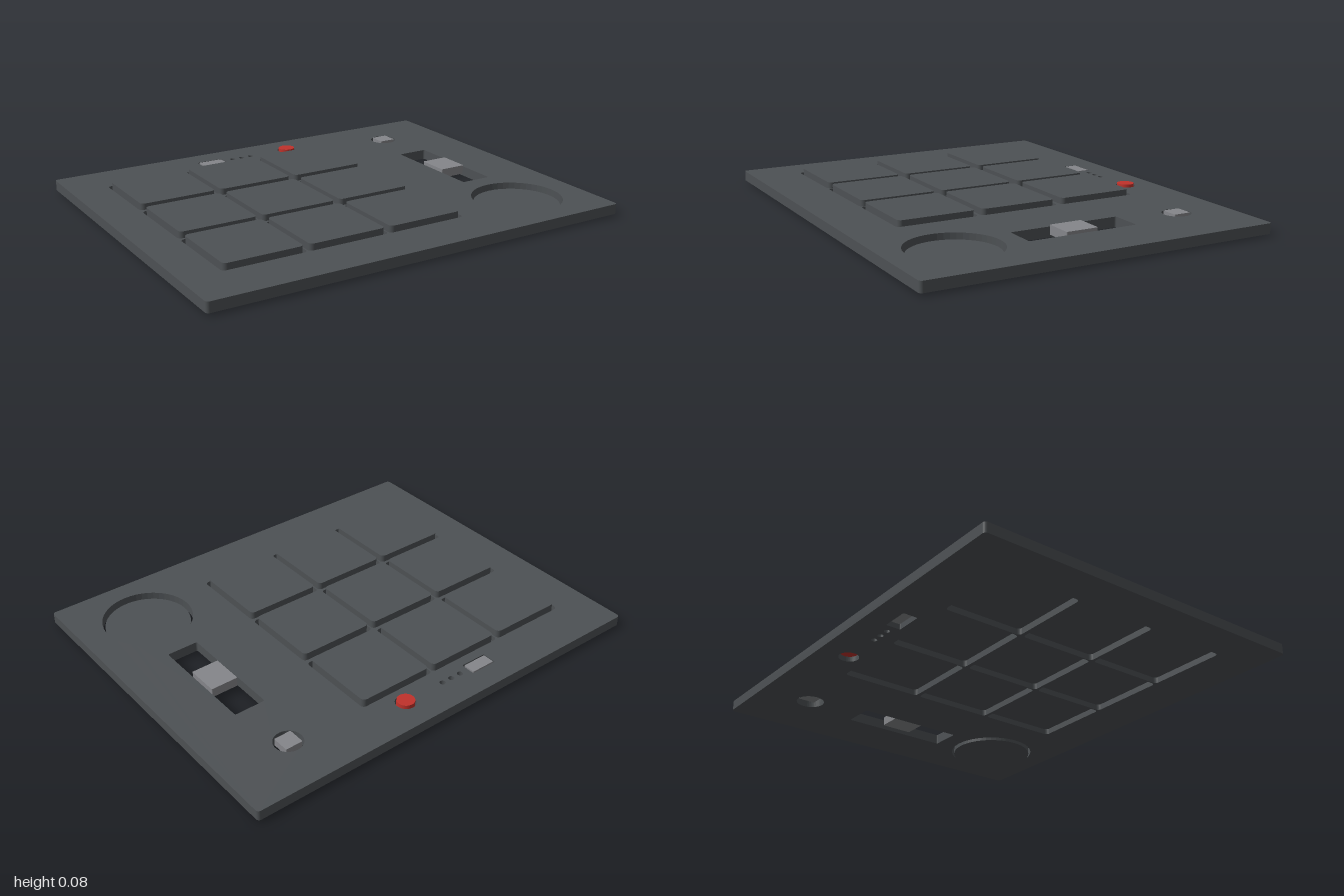
import * as THREE from 'three';

const mat = (name, color) => {
  const m = new THREE.MeshStandardMaterial({ color });
  m.name = name;
  return m;
};

// Outlines are drawn in plan: x to the right, z towards the front.
function roundedRect(cx, cz, w, d, r, Type = THREE.Shape) {
  const p = new Type(), x = cx - w / 2, y = -cz - d / 2;
  p.moveTo(x + r, y);
  p.lineTo(x + w - r, y);
  p.absarc(x + w - r, y + r, r, -Math.PI / 2, 0);
  p.lineTo(x + w, y + d - r);
  p.absarc(x + w - r, y + d - r, r, 0, Math.PI / 2);
  p.lineTo(x + r, y + d);
  p.absarc(x + r, y + d - r, r, Math.PI / 2, Math.PI);
  p.lineTo(x, y + r);
  p.absarc(x + r, y + r, r, Math.PI, Math.PI * 1.5);
  return p;
}

function circle(cx, cz, r, Type = THREE.Shape) {
  const p = new Type();
  p.absarc(cx, -cz, r, 0, Math.PI * 2);
  return p;
}

// Stand a plan outline up between two heights.
function slab(name, shape, y0, y1, material) {
  const g = new THREE.ExtrudeGeometry(shape, { depth: y1 - y0, bevelEnabled: false, curveSegments: 24 });
  g.rotateX(-Math.PI / 2);
  g.translate(0, y0, 0);
  const mesh = new THREE.Mesh(g, material);
  mesh.name = name;
  return mesh;
}

export function createModel() {
  const charcoal = mat('charcoal', 0x4d5154);
  const grey = mat('grey', 0x85868a);
  const red = mat('red', 0xc0322b);
  const model = new THREE.Group();
  model.name = 'controlPanel';

  const panel = roundedRect(0, 0, 2, 1.61, 0.015);
  const cutRect = (x, z, w, d, r) => panel.holes.push(roundedRect(x, z, w, d, r, THREE.Path));
  const cutCircle = (x, z, r) => panel.holes.push(circle(x, z, r, THREE.Path));

  // Nine pads, each standing in its own opening
  const pads = new THREE.Group();
  pads.name = 'pads';
  for (const z of [-0.396, 0, 0.392]) {
    for (const x of [-0.636, -0.252, 0.132]) {
      cutRect(x, z, 0.378, 0.378, 0.018);
      pads.add(slab('pad', roundedRect(x, z, 0.356, 0.356, 0.02), 0.03, 0.08, charcoal));
    }
  }
  model.add(pads);

  // Small display and three indicator holes
  cutRect(-0.254, -0.664, 0.128, 0.068, 0.006);
  model.add(slab('display', roundedRect(-0.254, -0.664, 0.116, 0.056, 0.004), 0.03, 0.057, grey));
  for (const x of [-0.144, -0.094, -0.045]) cutCircle(x, -0.664, 0.013);

  // Round red button
  cutCircle(0.16, -0.664, 0.045);
  model.add(slab('redButton', circle(0.16, -0.664, 0.039), 0.03, 0.068, red));

  // Square switch in a round opening
  cutCircle(0.68, -0.56, 0.063);
  model.add(slab('switch', roundedRect(0.68, -0.56, 0.08, 0.08, 0.004), 0.03, 0.062, grey));

  // Slider in its slot
  cutRect(0.68, -0.042, 0.146, 0.512, 0.008);
  model.add(slab('slider', roundedRect(0.68, -0.04, 0.128, 0.15, 0.005), 0.025, 0.067, grey));

  // Sunken wheel
  cutCircle(0.68, 0.505, 0.203);
  model.add(slab('wheel', circle(0.68, 0.505, 0.192), 0, 0.03, charcoal));

  model.add(slab('panel', panel, 0.01, 0.056, charcoal));
  return model;
}
